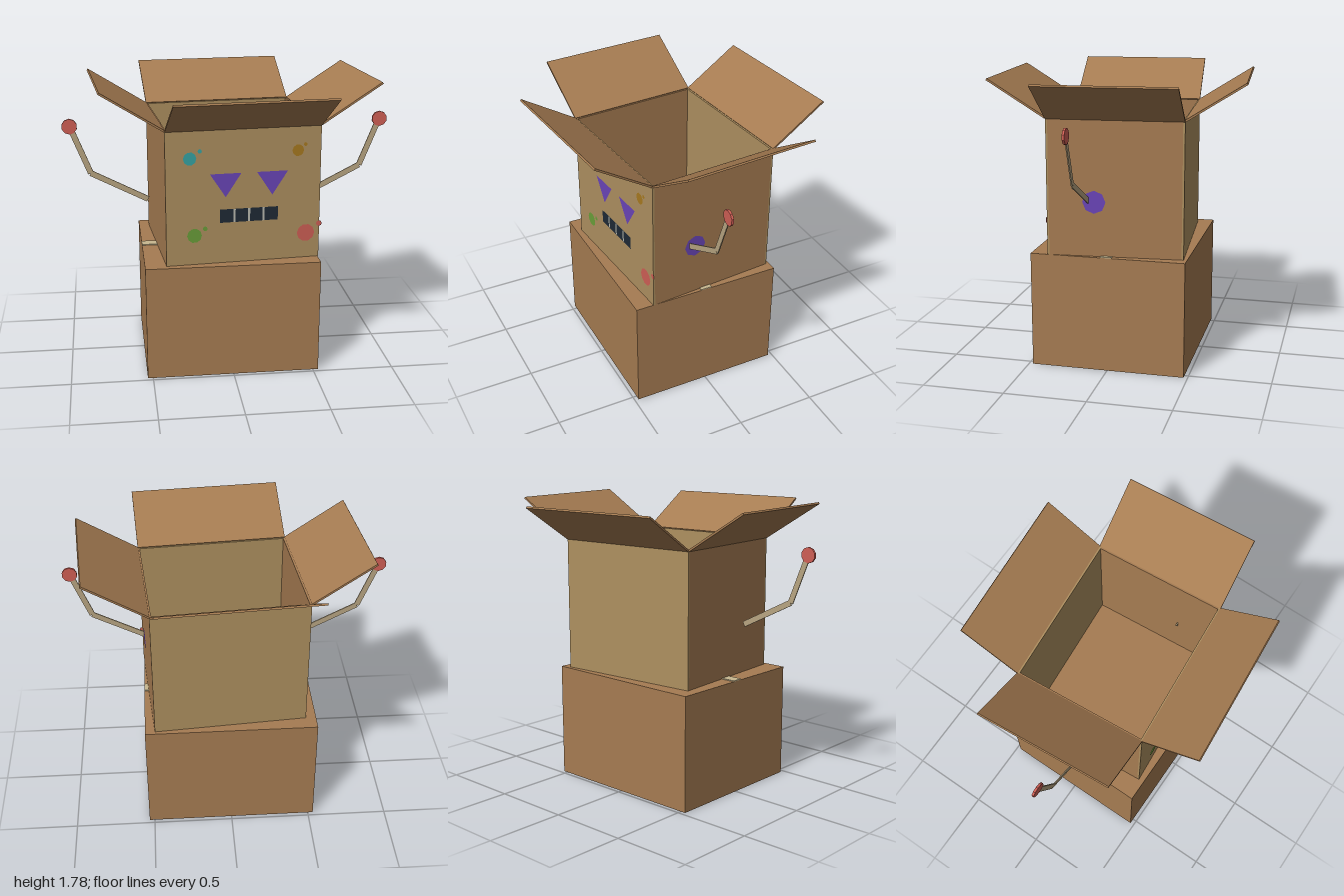
import * as THREE from 'three';

const mat = (color) => new THREE.MeshStandardMaterial({ color, flatShading: true, side: THREE.DoubleSide });
const cardboard = mat(0xa67c52), paleCardboard = mat(0xae9060), tape = mat(0xc8b890);
const purple = mat(0x6a45b8), red = mat(0xcf5f55), stick = mat(0xb8a582);
const dark = mat(0x1f2a36), light = mat(0xbbbbb0);

function add(parent, name, geometry, material, x = 0, y = 0, z = 0) {
  const mesh = new THREE.Mesh(geometry, material);
  mesh.name = name;
  mesh.position.set(x, y, z);
  parent.add(mesh);
  return mesh;
}

const box = (w, h, d) => new THREE.BoxGeometry(w, h, d);

// Flat bar between two points in the xy plane
function bar(parent, name, a, b, width, depth) {
  const dx = b[0] - a[0], dy = b[1] - a[1];
  const mesh = add(parent, name, box(Math.hypot(dx, dy), width, depth), stick, (a[0] + b[0]) / 2, (a[1] + b[1]) / 2, 0);
  mesh.rotation.z = Math.atan2(dy, dx);
}

export function createModel() {
  const model = new THREE.Group();
  model.name = 'cardboardRobot';

  // Lower closed box with a tape strip over its seam
  add(model, 'lowerBox', box(1.066, 0.715, 0.95), cardboard, 0, 0.3575, 0);
  add(model, 'tapeStrip', box(1.066, 0.006, 0.07), tape, 0, 0.718, 0.005);

  // Upper open box, slightly turned
  const W = 0.943, D = 0.823, T = 0.012, bottom = 0.717, top = 1.545;
  const H = top - bottom, midY = (top + bottom) / 2;
  const head = new THREE.Group();
  head.name = 'upperBox';
  head.position.set(0.034, 0, -0.007);
  head.rotation.y = 0.08;
  model.add(head);

  add(head, 'upperFloor', box(W - 2 * T, T, D - 2 * T), cardboard, 0, bottom + T / 2, 0);
  for (const s of [1, -1]) {
    add(head, s > 0 ? 'frontWall' : 'backWall', box(W, H, T), paleCardboard, 0, midY, s * (D - T) / 2);
    add(head, s > 0 ? 'leftWall' : 'rightWall', box(T, H, D - 2 * T), cardboard, s * (W - T) / 2, midY, 0);
  }

  // Four open flaps hinged on the top rim
  const names = ['frontFlap', 'leftFlap', 'backFlap', 'rightFlap'];
  names.forEach((name, i) => {
    const side = i % 2 === 1;
    const length = side ? 0.438 : 0.412;
    const hinge = new THREE.Group();
    hinge.name = name + 'Hinge';
    hinge.rotation.y = i * Math.PI / 2;
    head.add(hinge);
    const geometry = box(side ? D : W, T, length);
    geometry.translate(0, 0, length / 2);
    const flap = add(hinge, name, geometry, cardboard, 0, top, (side ? W : D) / 2);
    flap.rotation.x = -0.562;
  });

  // Painted face, in the plane of the front wall
  const face = new THREE.Group();
  face.name = 'face';
  face.position.set(-0.036, 0, D / 2 + 0.003);
  head.add(face);
  for (const x of [-0.075, 0.21]) {
    const eye = new THREE.Shape([
      new THREE.Vector2(-0.095, 1.275), new THREE.Vector2(0, 1.13), new THREE.Vector2(0.095, 1.275),
    ]);
    add(face, 'eye', new THREE.ShapeGeometry(eye), purple, x);
  }
  add(face, 'mouth', new THREE.PlaneGeometry(0.355, 0.083), dark, 0.068, 1.013, 0);
  for (const x of [-0.021, 0.068, 0.157]) {
    add(face, 'toothGap', new THREE.PlaneGeometry(0.013, 0.083), light, x, 1.013, 0.002);
  }

  // Paint blots, each with a small droplet: x, y, radius, droplet x, droplet y, colour
  const blots = [
    [-0.29, 1.375, 0.04, -0.23, 1.418, 0x36a5a5],
    [0.365, 1.395, 0.036, 0.41, 1.43, 0xa87a20],
    [-0.265, 0.9, 0.045, -0.2, 0.94, 0x6a9f3a],
    [0.422, 0.875, 0.055, 0.505, 0.93, 0xcf5f55],
  ];
  for (const [x, y, r, dx, dy, color] of blots) {
    const paint = mat(color);
    add(face, 'paintBlot', new THREE.CircleGeometry(r, 10), paint, x, y, 0);
    add(face, 'paintDroplet', new THREE.CircleGeometry(r * 0.33, 8), paint, dx, dy, 0);
  }
  const sideBlot = add(head, 'sideBlot', new THREE.CircleGeometry(0.07, 8), purple, W / 2 + 0.003, 1.05, 0.125);
  sideBlot.rotation.y = Math.PI / 2;

  // Thin bent arms with disc hands
  for (const s of [1, -1]) {
    const arm = new THREE.Group();
    arm.name = s > 0 ? 'leftArm' : 'rightArm';
    arm.position.z = 0.115;
    model.add(arm);
    const shoulder = [s * 0.49, 1.045], elbow = [s * 0.835, 1.222], wrist = [s * 0.945, 1.5];
    bar(arm, 'upperArm', shoulder, elbow, 0.035, 0.007);
    bar(arm, 'forearm', elbow, wrist, 0.035, 0.007);
    const hand = add(arm, 'hand', new THREE.CylinderGeometry(0.047, 0.047, 0.014, 10), red, s * 0.953, 1.515, 0);
    hand.rotation.x = Math.PI / 2;
  }
  return model;
}
